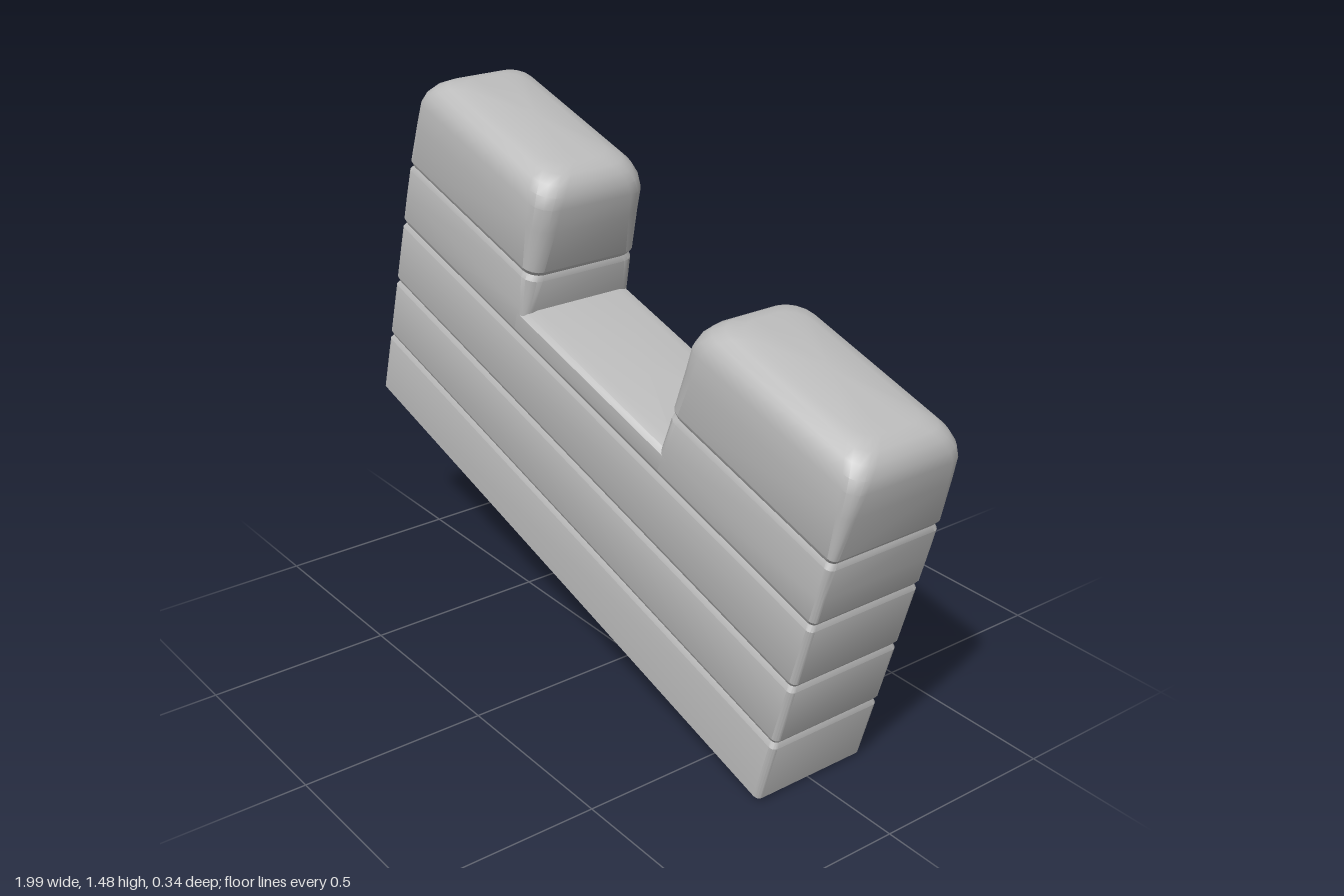
import * as THREE from 'three';
import { toCreasedNormals } from 'three/addons/utils/BufferGeometryUtils.js';

const HALF = 0.17; // half thickness of the wall

// Rounded rectangle at height v; rl and rr are the corner radii at its two ends
function section(u0, u1, [v, inset, rl, rr]) {
  const points = [];
  const a = u0 + inset, b = u1 - inset, h = HALF - inset;
  const corners = [[b, -1, rr, 0], [a, -1, rl, 1], [a, 1, rl, 2], [b, 1, rr, 3]];
  for (const [u, side, r, quarter] of corners) {
    const cu = u === b ? u - r : u + r, cz = side * (h - r);
    for (let i = 0; i <= 4; i++) {
      const t = (quarter + i / 4) * Math.PI / 2;
      points.push(new THREE.Vector3(cu + r * Math.cos(t), v, cz - r * Math.sin(t)));
    }
  }
  return points;
}

// Skin stacked sections and close both ends, with a slightly raised centre line on top
function loft(name, u0, u1, rows, material, crown = 0) {
  const rings = rows.map((row) => section(u0, u1, row));
  const n = rings[0].length, out = [];
  const tri = (...pts) => pts.forEach((p) => out.push(p.x, p.y, p.z));
  for (let k = 0; k + 1 < rings.length; k++) {
    for (let i = 0; i < n; i++) {
      const j = (i + 1) % n, lo = rings[k], hi = rings[k + 1];
      tri(lo[i], lo[j], hi[j]);
      tri(lo[i], hi[j], hi[i]);
    }
  }
  const first = rings[0], last = rings[rings.length - 1], mid = (u0 + u1) / 2;
  const bottom = new THREE.Vector3(mid, rows[0][0], 0);
  const top = new THREE.Vector3(mid, rows[rows.length - 1][0] + crown, 0);
  for (let i = 0; i < n; i++) {
    const j = (i + 1) % n;
    tri(bottom, first[j], first[i]);
    tri(top, last[i], last[j]);
  }
  const geometry = new THREE.BufferGeometry();
  geometry.setAttribute('position', new THREE.Float32BufferAttribute(out, 3));
  const mesh = new THREE.Mesh(toCreasedNormals(geometry, 0.5), material);
  mesh.name = name;
  return mesh;
}

// Shallow seam between stone courses
const seam = (v, rl, rr) => [[v - 0.014, 0, rl, rr], [v, 0.007, rl, rr], [v + 0.014, 0, rl, rr]];

export function createModel() {
  const stone = new THREE.MeshStandardMaterial({ color: 0xbbbbbb });
  stone.name = 'grey stone';
  const wall = new THREE.Group();
  wall.name = 'battlementWall';

  // Lower wall with two full seams, ending in the third
  wall.add(loft('lowerWall', 0, 1.79, [
    [0, 0.01, 0.012, 0.012], [0.012, 0, 0.015, 0.015],
    ...seam(0.2, 0.015, 0.015), ...seam(0.39, 0.015, 0.015),
    [0.571, 0, 0.015, 0.015], [0.585, 0.007, 0.015, 0.015],
  ], stone));

  // Sill between the merlons
  wall.add(loft('sill', 0.57, 1.23, [
    [0.585, 0.007, 0.005, 0.005], [0.599, 0, 0.005, 0.005],
    [0.648, 0, 0.005, 0.005], [0.66, 0.012, 0.005, 0.005], [0.667, 0.04, 0.005, 0.005],
  ], stone, 0.006));

  // Two merlons with soft tops, their corners rounder towards the notch
  const merlon = (name, u0, u1, innerRight) => {
    const order = (outer, inner) => (innerRight ? [outer, inner] : [inner, outer]);
    wall.add(loft(name, u0, u1, [
      [0.585, 0.007, ...order(0.015, 0.015)], [0.599, 0, ...order(0.015, 0.015)],
      [0.67, 0, ...order(0.015, 0.025)],
      ...seam(0.77, ...order(0.018, 0.04)),
      [0.9, 0, ...order(0.03, 0.055)], [0.965, 0, ...order(0.04, 0.06)],
      [0.995, 0.007, ...order(0.045, 0.065)], [1.02, 0.022, ...order(0.05, 0.065)],
      [1.037, 0.043, ...order(0.05, 0.065)], [1.047, 0.075, ...order(0.05, 0.06)],
    ], stone, 0.008));
  };
  merlon('rightMerlon', 0, 0.608, true);
  merlon('leftMerlon', 1.19, 1.79, false);

  // The whole piece rests on one lower corner
  wall.rotation.z = -0.283;
  wall.position.set(-1, 0.5, 0);
  const model = new THREE.Group();
  model.name = 'tiltedBattlement';
  model.add(wall);
  return model;
}
